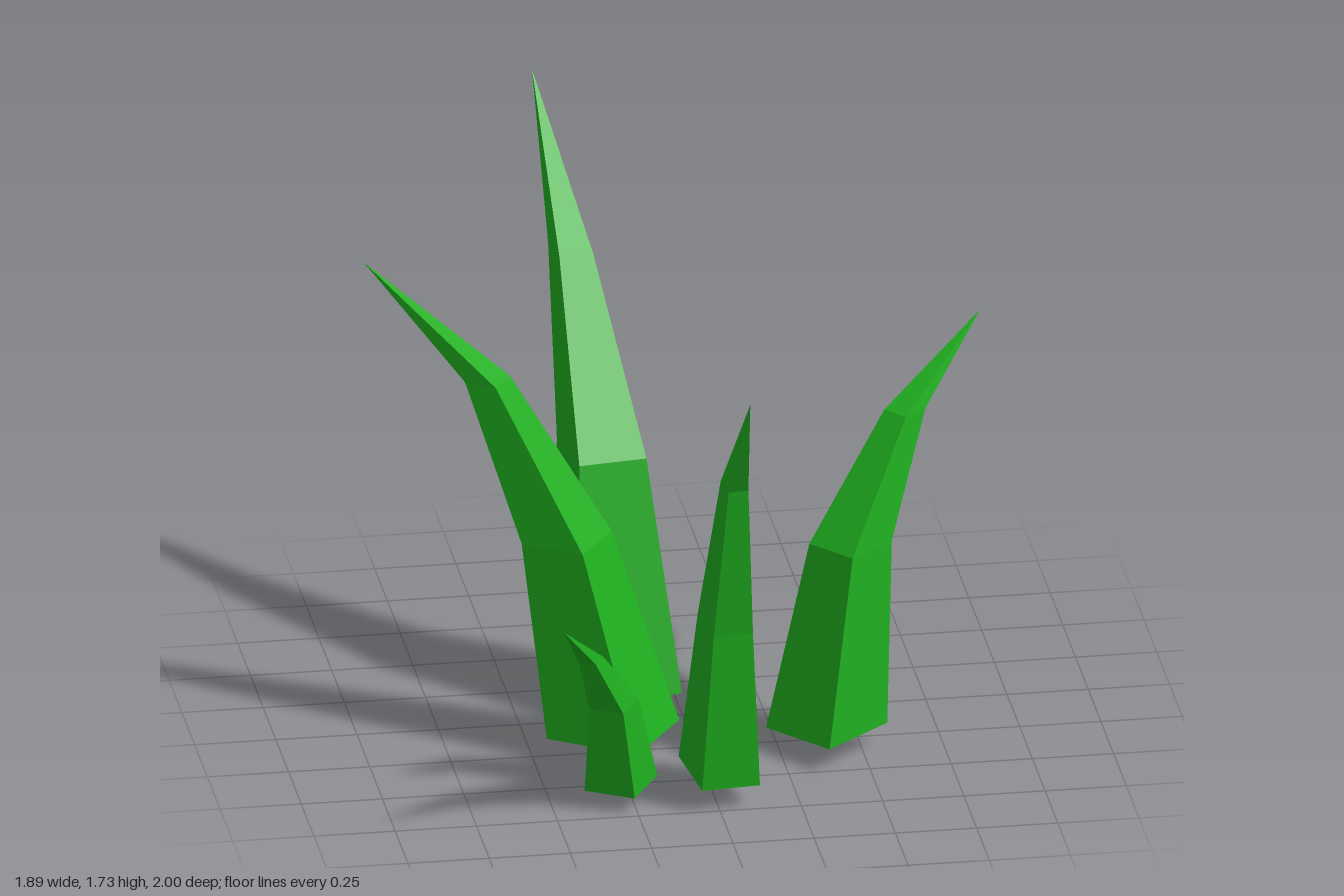
import * as THREE from 'three';

const material = new THREE.MeshStandardMaterial({ color: 0x1fae1f, flatShading: true });

// Each blade: two neighbouring base corners (x, z from the centre; the other two mirror them),
// and the spine from base to tip as [x, y, z].
const blades = [
  { name: 'backBlade', corners: [[-0.13, 0.185], [0.18, 0.145]],
    spine: [[-0.18, 0.07, -0.145], [-0.205, 0.78, -0.27], [-0.25, 1.31, -0.595], [-0.305, 1.73, -1]] },
  { name: 'rightSideBlade', corners: [[0.04, 0.21], [0.21, -0.04]],
    spine: [[-0.25, 0.07, 0.24], [-0.38, 0.68, 0.16], [-0.6, 1.155, 0.01], [-0.95, 1.48, -0.19]] },
  { name: 'leftSideBlade', corners: [[-0.02, 0.187], [0.185, 0.01]],
    spine: [[0.395, 0.075, 0.32], [0.478, 0.65, 0.26], [0.67, 1.01, 0.1], [0.94, 1.22, -0.14]] },
  { name: 'frontBlade', corners: [[-0.075, 0.145], [0.105, 0.129]],
    spine: [[0.02, 0.07, 0.605], [0.03, 0.58, 0.66], [0.042, 1.08, 0.765], [0.06, 1.43, 0.96]] },
  { name: 'smallFrontBlade', corners: [[0.023, 0.124], [0.118, -0.041]],
    spine: [[-0.283, 0.05, 0.606], [-0.315, 0.345, 0.675], [-0.405, 0.55, 0.8], [-0.52, 0.73, 0.995]] },
  { name: 'smallMiddleBlade', corners: [[-0.0975, 0.07], [0.0725, 0.1]],
    spine: [[0.073, 0, 0.26], [0.1, 0.3, 0.19], [0.125, 0.53, 0.035], [0.15, 0.68, -0.19]] },
];
const taper = [1, 0.68, 0.34, 0];

// Four-sided blade lofted along its spine, closed at the base and pointed at the tip
function bladeGeometry({ corners: [a, b], spine }) {
  const ring = [a, b, [-a[0], -a[1]], [-b[0], -b[1]]];
  const positions = [];
  const index = [0, 3, 2, 0, 2, 1];
  spine.forEach(([x, y, z], level) => {
    for (const [dx, dz] of ring) positions.push(x + dx * taper[level], y, z + dz * taper[level]);
  });
  for (let level = 0; level < spine.length - 1; level++) {
    for (let i = 0; i < 4; i++) {
      const p = level * 4 + i;
      const q = level * 4 + (i + 1) % 4;
      index.push(p, q, q + 4);
      if (level < spine.length - 2) index.push(p, q + 4, p + 4);
    }
  }
  const geometry = new THREE.BufferGeometry();
  geometry.setAttribute('position', new THREE.Float32BufferAttribute(positions, 3));
  geometry.setIndex(index);
  const flat = geometry.toNonIndexed();
  flat.computeVertexNormals();
  return flat;
}

export function createModel() {
  const group = new THREE.Group();
  group.name = 'grassTuft';
  for (const blade of blades) {
    const mesh = new THREE.Mesh(bladeGeometry(blade), material);
    mesh.name = blade.name;
    group.add(mesh);
  }
  return group;
}
